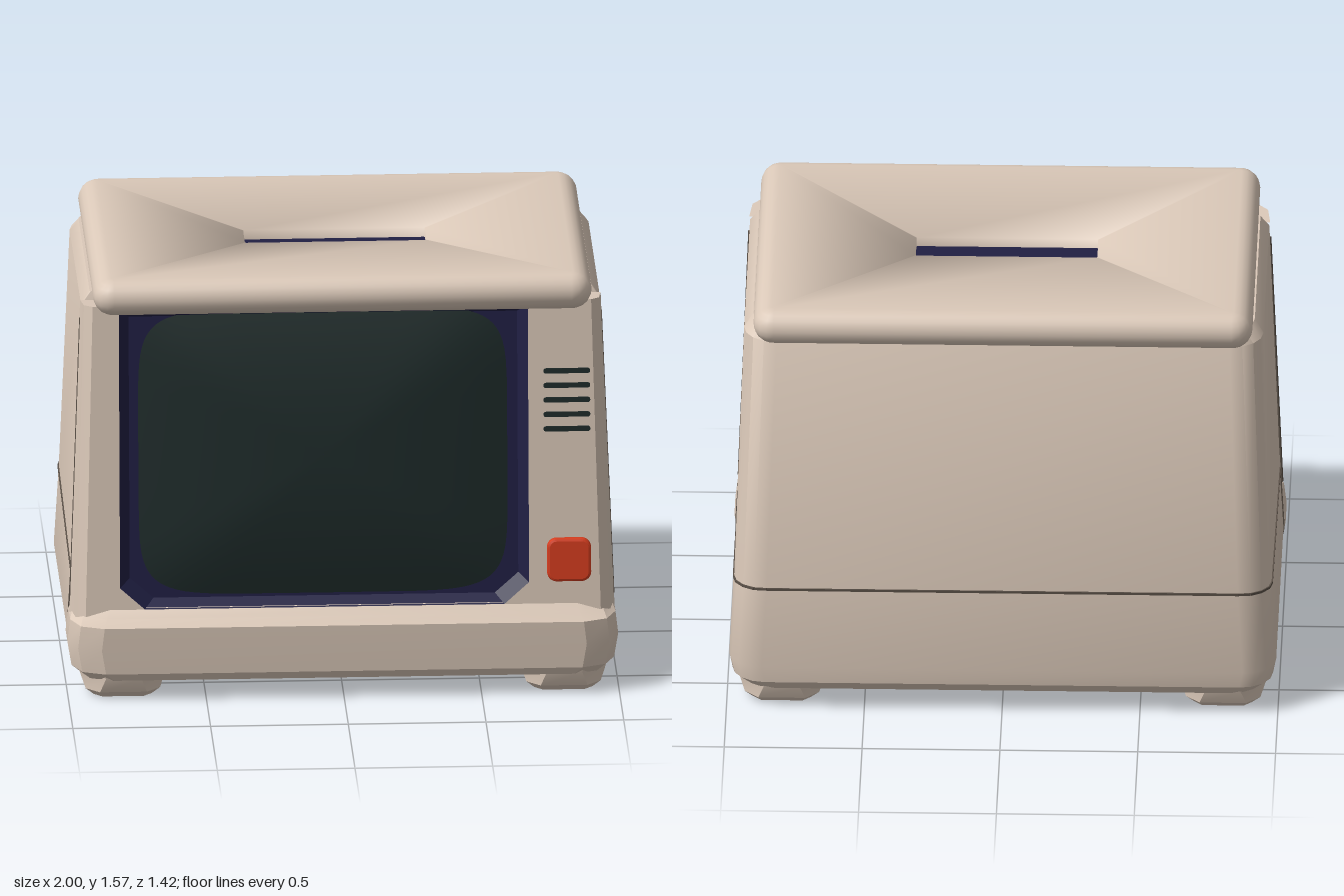
import * as THREE from 'three';
import { toCreasedNormals } from 'three/addons/utils/BufferGeometryUtils.js';

const mat = (name, color) => {
  const m = new THREE.MeshStandardMaterial({ color });
  m.name = name;
  return m;
};

// Skin a list of equal-length closed loops, with optional fan caps
function loft(loops, { start = false, end = false, crease = 0.6 } = {}) {
  const n = loops[0].length, pos = [], idx = [];
  loops.forEach(l => l.forEach(p => pos.push(...p)));
  for (let i = 0; i < loops.length - 1; i++)
    for (let j = 0; j < n; j++) {
      const a = i * n + j, b = i * n + (j + 1) % n;
      idx.push(a, a + n, b, b, a + n, b + n);
    }
  const cap = (row, flip) => {
    const c = [0, 1, 2].map(k => loops[row].reduce((s, p) => s + p[k], 0) / n);
    const ci = pos.length / 3;
    pos.push(...c);
    for (let j = 0; j < n; j++) {
      const a = row * n + j, b = row * n + (j + 1) % n;
      if (flip) idx.push(ci, b, a); else idx.push(ci, a, b);
    }
  };
  if (start) cap(0, false);
  if (end) cap(loops.length - 1, true);
  const g = new THREE.BufferGeometry();
  g.setAttribute('position', new THREE.Float32BufferAttribute(pos, 3));
  g.setIndex(idx);
  return toCreasedNormals(g, crease);
}

// Horizontal rounded rectangle; rf and rb are the front and back corner radii
function ring(y, hx, zb, zf, rb, rf, n = 4) {
  const pts = [];
  const corners = [[1, zf, rf, -1], [-1, zf, rf, -1], [-1, zb, rb, 1], [1, zb, rb, 1]];
  corners.forEach(([sx, z, r, inward], q) => {
    for (let k = 0; k <= n; k++) {
      const a = (q + k / n) * Math.PI / 2;
      pts.push([sx * (hx - r) + r * Math.cos(a), y, z + inward * r + r * Math.sin(a)]);
    }
  });
  return pts;
}

function shapeFrom(points) {
  return new THREE.Shape(points.map(p => new THREE.Vector2(p[0], p[1])));
}

function roundedShape(w, h, r) {
  const s = new THREE.Shape(), x = w / 2, y = h / 2, q = Math.PI / 2;
  s.absarc(x - r, y - r, r, 0, q);
  s.absarc(-x + r, y - r, r, q, 2 * q);
  s.absarc(-x + r, -y + r, r, 2 * q, 3 * q);
  s.absarc(x - r, -y + r, r, 3 * q, 4 * q);
  return s;
}

export function createModel() {
  const root = new THREE.Group();
  const beige = mat('warm beige', 0xdbc9b9);
  const navy = mat('dark navy', 0x201f43);
  const glass = mat('dark green glass', 0x1e2b2a);
  const red = mat('button red', 0xd63d1e);
  const groove = mat('groove brown', 0x5c5249);
  const add = (name, geo, m, parent = root) => {
    const mesh = new THREE.Mesh(geo, m);
    mesh.name = name;
    parent.add(mesh);
    return mesh;
  };

  // Tapered housing
  const rows = [
    [0.08, 0.945, -0.675, 0.5], [0.12, 0.98, -0.708, 0.52], [0.18, 0.992, -0.71, 0.525],
    [0.48, 0.975, -0.69, 0.503], [1.43, 0.942, -0.555, 0.412], [1.475, 0.91, -0.53, 0.4],
  ];
  add('housing', loft(rows.map(([y, hx, zb, zf]) => ring(y, hx, zb, zf, 0.12, 0.005)),
    { start: true, end: true }), beige);

  // Chin below the screen, with cut corners
  const chin = [
    [0.08, 0.955, 0.69], [0.11, 0.985, 0.708], [0.2, 1.0, 0.71], [0.285, 0.99, 0.71],
    [0.305, 0.98, 0.66], [0.335, 0.965, 0.62],
  ];
  add('chin', loft(chin.map(([y, hx, zf]) => ring(y, hx, 0.45, zf, 0.005, 0.12, 2)),
    { start: true, end: true, crease: 0.3 }), beige);

  // Corner feet, flush with the housing sides
  for (const sx of [-1, 1])
    for (const [name, z] of [['frontFoot', 0.545], ['backFoot', -0.53]]) {
      const foot = add(name, loft([
        ring(0.005, 0.105, -0.097, 0.097, 0.03, 0.03, 1),
        ring(0.03, 0.135, -0.125, 0.125, 0.05, 0.05, 1),
        ring(0.085, 0.155, -0.145, 0.145, 0.09, 0.09, 1),
        ring(0.13, 0.165, -0.15, 0.15, 0.09, 0.09, 1),
      ], { start: true, end: true, crease: 0.3 }), beige);
      foot.position.set(sx * 0.8, 0, z);
    }

  // Leaning front panel: everything here is measured in its plane
  const front = new THREE.Group();
  front.name = 'frontPanel';
  front.position.set(0, 0.3, 0.63);
  front.rotation.x = -0.0954;
  root.add(front);

  const quad = (b, t, h, z) => [[b, 0, z], [t, h, z], [-t, h, z], [-b, 0, z]];
  add('panelEdge', loft([quad(0.935, 0.905, 1.16, 0), quad(0.97, 0.935, 1.16, -0.03),
    quad(0.99, 0.945, 1.16, -0.115)], { crease: 0.2 }), beige, front);

  const opening = [
    [0.585, 0.03], [0.675, 0.11], [0.675, 1.145],
    [-0.81, 1.145], [-0.81, 0.11], [-0.72, 0.03],
  ];
  const panel = shapeFrom(quad(0.935, 0.905, 1.16, 0));
  panel.holes.push(shapeFrom(opening));
  add('panelFace', new THREE.ShapeGeometry(panel), beige, front);

  // Sunken screen surround
  const cx = -0.07, cy = 0.605;
  const floor = opening.map(([x, y]) => [cx + (x - cx) * 0.95, cy + (y - cy) * 0.94, -0.04]);
  add('screenSurround', loft([floor, opening.map(([x, y]) => [x, y, 0])], { crease: 0.2 }), navy, front);
  add('screenSurroundFloor', new THREE.ShapeGeometry(shapeFrom(floor)).translate(0, 0, -0.04), navy, front);

  // Bulging glass, a squared oval dome
  const N = 64, dome = [];
  const bend = v => Math.sign(v) * Math.pow(Math.abs(v), 0.3);
  for (let i = 0; i <= 10; i++) {
    const t = 0.001 + 0.999 * i / 10, loop = [];
    for (let j = 0; j < N; j++) {
      const a = j / N * Math.PI * 2;
      loop.push([cx + 0.67 * t * bend(Math.cos(a)), cy + 0.53 * t * bend(Math.sin(a)),
        -0.036 + 0.074 * (1 - t * t)]);
    }
    dome.push(loop);
  }
  add('screen', loft(dome), glass, front);

  // Speaker slots
  for (let i = 0; i < 5; i++) {
    const slot = add('speakerSlot', new THREE.ExtrudeGeometry(roundedShape(0.17, 0.019, 0.009),
      { depth: 0.004, bevelEnabled: false, curveSegments: 4 }), glass, front);
    slot.position.set(0.815, 0.68 + i * 0.054, 0);
  }

  // Power button
  const button = add('powerButton', new THREE.ExtrudeGeometry(roundedShape(0.14, 0.14, 0.025),
    { depth: 0.016, bevelSize: 0.01, bevelThickness: 0.01, bevelSegments: 2, curveSegments: 4 }), red, front);
  button.position.set(0.82, 0.195, 0);

  // Padded lid, softly shaded down into a sunken slot
  const lid = [];
  for (let i = 0; i <= 10; i++) {
    const a = -Math.PI / 2 + i / 10 * Math.PI;
    const inset = 0.067 * (1 - Math.cos(a));
    const r = 0.075 - inset;
    lid.push(ring(1.508 + 0.067 * Math.sin(a), 0.905 - inset, -0.632 + inset, 0.632 - inset, r, r));
  }
  for (const y of [1.54, 1.45]) lid.push(ring(y, 0.33, -0.072, 0.072, 0.006, 0.006));
  add('lid', loft(lid, { start: true, crease: Math.PI }), beige);
  add('lidSlot', new THREE.BoxGeometry(0.66, 0.008, 0.144), navy).position.y = 1.5;

  // Panel joints on the sides and back
  const bar = (name, p, q) => {
    const a = new THREE.Vector3(...p), b = new THREE.Vector3(...q);
    const mesh = add(name, new THREE.BoxGeometry(0.009, 0.009, a.distanceTo(b)), groove);
    mesh.position.copy(a).lerp(b, 0.5);
    mesh.lookAt(b);
  };
  const joint = [
    [0.945, 0.085, 0.443], [0.98, 0.12, 0.443], [0.992, 0.18, 0.443], [0.978, 0.42, 0.443],
    [0.975, 0.482, -0.57], [0.966, 0.484, -0.616], [0.939, 0.486, -0.654],
    [0.901, 0.488, -0.68], [0.855, 0.49, -0.688], [0, 0.49, -0.688],
  ];
  for (const s of [-1, 1]) {
    const side = ([x, y, z]) => [s * x, y, z];
    for (let i = 1; i < joint.length; i++) bar('baseJoint', side(joint[i - 1]), side(joint[i]));
    bar('panelJoint', side([0.984, 0.33, 0.515]), side([0.943, 1.38, 0.415]));
  }
  return root;
}
